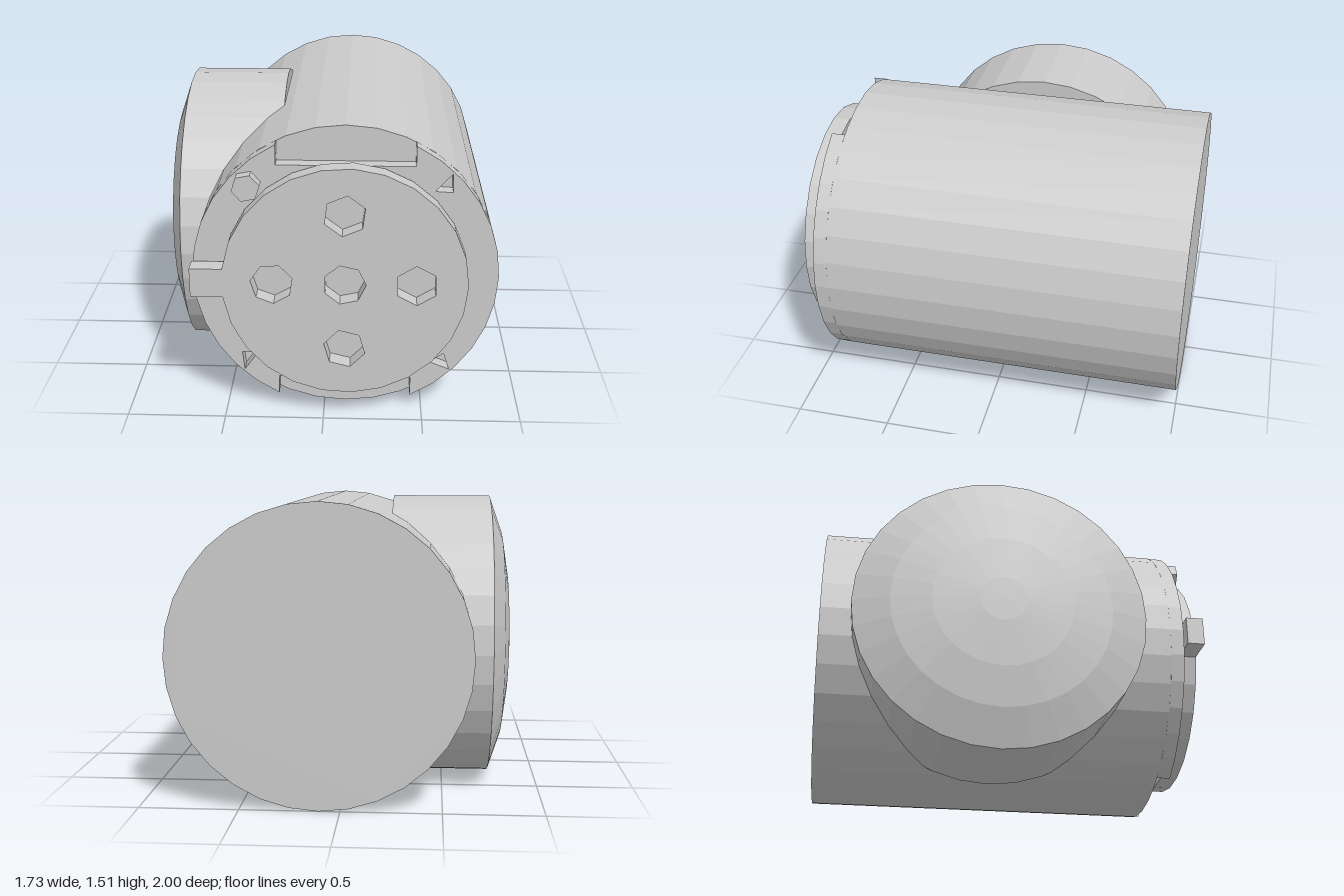
import * as THREE from 'three';

const CX = 0.105, CY = 0.755, R = 0.755; // main axis and radius

// points on an arc around the main axis
function arc(r, a, b, n) {
  return Array.from({ length: n + 1 }, (_, i) => {
    const t = a + ((b - a) * i) / n;
    return new THREE.Vector2(r * Math.cos(t), r * Math.sin(t));
  });
}

function polygon(x, y, r, n, turn = 0) {
  return Array.from({ length: n }, (_, i) => {
    const t = turn + (i * 2 * Math.PI) / n;
    return new THREE.Vector2(x + r * Math.cos(t), y + r * Math.sin(t));
  });
}

export function createModel() {
  const group = new THREE.Group();
  const material = new THREE.MeshStandardMaterial({ color: 0xcccccc, flatShading: true });

  const add = (name, geometry) => {
    const mesh = new THREE.Mesh(geometry, material);
    mesh.name = name;
    group.add(mesh);
    return mesh;
  };
  // slab of a given outline from z0 to z1 along the main axis
  const slab = (name, outline, z0, z1, holes = []) => {
    const shape = new THREE.Shape(outline);
    holes.forEach((h) => shape.holes.push(new THREE.Path(h)));
    const geometry = new THREE.ExtrudeGeometry(shape, { depth: z1 - z0, bevelEnabled: false });
    add(name, geometry).position.set(CX, CY, z0);
  };

  // main barrel
  slab('barrel', polygon(0, 0, R, 32), -1, 0.82);

  // front rim with a notch at top and bottom and three small triangular recesses
  const nx = 0.335, ny = 0.575, a = Math.acos(nx / R);
  const rim = [
    ...arc(R, -a, a, 12),
    new THREE.Vector2(nx, ny), new THREE.Vector2(-nx, ny),
    ...arc(R, Math.PI - a, Math.PI + a, 12),
    new THREE.Vector2(-nx, -ny), new THREE.Vector2(nx, -ny),
  ];
  const recesses = [
    [[0.43, 0.45], [0.515, 0.445], [0.51, 0.54]],
    [[0.43, -0.48], [0.53, -0.52], [0.5, -0.43]],
    [[-0.52, -0.44], [-0.51, -0.54], [-0.44, -0.44]],
  ].map((t) => t.map(([x, y]) => new THREE.Vector2(x, y)));
  slab('frontRim', rim, 0.82, 0.89, recesses);

  // neck behind the face plate, also the floor of its sockets
  slab('neck', polygon(0, 0, 0.545, 24), 0.89, 0.91);

  // face plate with a side key and five sockets
  const k = Math.asin(0.075 / 0.6);
  const plate = [
    ...arc(0.6, -Math.PI + k, Math.PI - k, 24),
    new THREE.Vector2(-R, 0.075), new THREE.Vector2(-R, -0.075),
  ];
  const sockets = [[0, 0], [0, 0.36], [0, -0.35], [-0.355, 0], [0.35, 0]]
    .map(([x, y], i) => polygon(x, y, 0.105, i % 3 ? 6 : 7, 0.4 * i));
  slab('facePlate', plate, 0.91, 1, sockets);

  // small hexagonal stud on the rim
  slab('stud', polygon(-0.475, 0.475, 0.07, 6, 0.2), 0.88, 0.95);

  // side drum with a domed end, crossing the barrel
  const profile = [
    [0, 0.23], [R, 0.23], [R, 0.745], [0.565, 0.812], [0.36, 0.845], [0.12, 0.864], [0, 0.866],
  ].map(([r, h]) => new THREE.Vector2(r, h));
  const drum = add('sideDrum', new THREE.LatheGeometry(profile, 32));
  drum.rotation.z = Math.PI / 2;
  drum.position.set(0, CY, -0.09);

  return group;
}
